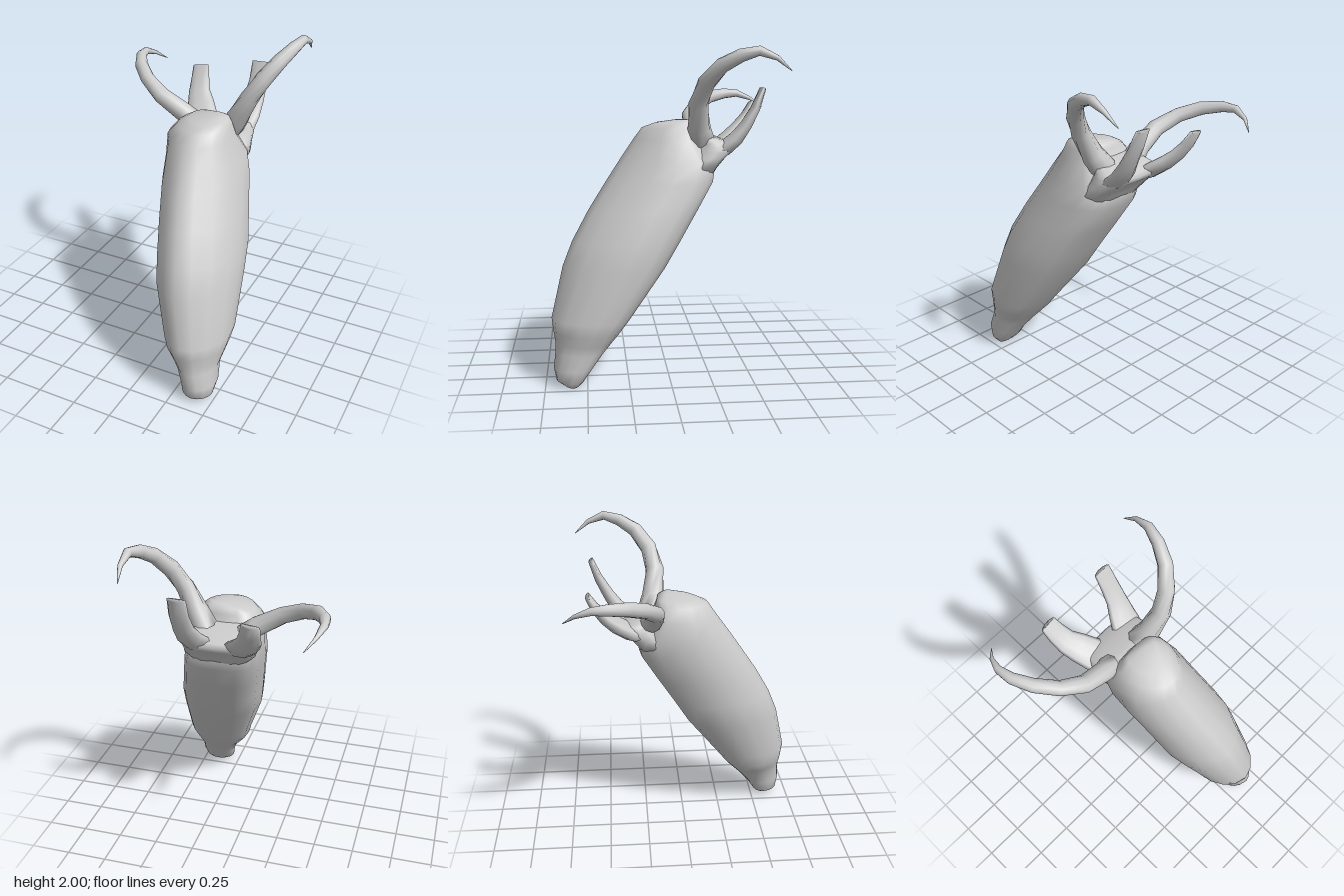
import * as THREE from 'three';

const material = new THREE.MeshStandardMaterial({ color: 0xcccccc, side: THREE.DoubleSide });

// Skin a list of rings (equal point counts) and close both ends.
function skin(name, rings) {
  const n = rings[0].length, pos = [], idx = [];
  for (const ring of rings) for (const p of ring) pos.push(p.x, p.y, p.z);
  for (let i = 0; i < rings.length - 1; i++) {
    for (let j = 0; j < n; j++) {
      const a = i * n + j, b = i * n + (j + 1) % n;
      idx.push(a, b, b + n, a, b + n, a + n);
    }
  }
  const last = (rings.length - 1) * n;
  for (let j = 1; j < n - 1; j++) {
    idx.push(0, j + 1, j);
    idx.push(last, last + j, last + j + 1);
  }
  const g = new THREE.BufferGeometry();
  g.setAttribute('position', new THREE.Float32BufferAttribute(pos, 3));
  g.setIndex(idx);
  g.computeVertexNormals();
  const mesh = new THREE.Mesh(g, material);
  mesh.name = name;
  return mesh;
}

// Level section from the extents [y, x0, x1, z0, z1]: round front, squarer back.
function levelRing([y, x0, x1, z0, z1], sides = 16) {
  const zc = z0 + 0.43 * (z1 - z0);
  return Array.from({ length: sides }, (_, j) => {
    const a = (j / sides) * Math.PI * 2, s = -Math.sin(a), c = Math.cos(a);
    const power = s > 0 ? 1.1 : 0.7;
    const round = (v) => Math.sign(v) * Math.abs(v) ** power;
    return new THREE.Vector3(
      (x0 + x1) / 2 + round(c) * (x1 - x0) / 2, y,
      zc + round(s) * (s > 0 ? z1 - zc : zc - z0));
  });
}

// Elliptic limb through stations [x, y, z, half width, half thickness].
// The width runs along hint; cup bends the side edges forward.
function limb(name, stations, hint, cup = 0, sides = 10) {
  const pts = stations.map((s) => new THREE.Vector3(s[0], s[1], s[2]));
  const rings = stations.map(([, , , w, h], i) => {
    const t = pts[Math.min(i + 1, pts.length - 1)].clone().sub(pts[Math.max(i - 1, 0)]).normalize();
    const u = hint.clone().addScaledVector(t, -hint.dot(t)).normalize();
    const v = t.clone().cross(u);
    return Array.from({ length: sides }, (_, j) => {
      const a = (j / sides) * Math.PI * 2, c = Math.cos(a);
      return pts[i].clone().addScaledVector(u, c * w)
        .addScaledVector(v, Math.sin(a) * h - cup * w * c * c);
    });
  });
  return skin(name, rings);
}

export function createModel() {
  const group = new THREE.Group();
  group.name = 'hornedHead';
  const X = new THREE.Vector3(1, 0, 0), Y = new THREE.Vector3(0, 1, 0);

  // Long slanted head, from the blunt muzzle up to the crown
  group.add(skin('head', [
    [0.00, 0.345, 0.455, 0.555, 0.63],
    [0.035, 0.29, 0.485, 0.52, 0.685],
    [0.11, 0.275, 0.50, 0.47, 0.70],
    [0.20, 0.235, 0.485, 0.40, 0.69],
    [0.26, 0.185, 0.50, 0.35, 0.69],
    [0.32, 0.14, 0.515, 0.30, 0.70],
    [0.40, 0.115, 0.53, 0.24, 0.71],
    [0.70, 0.00, 0.505, 0.02, 0.64],
    [0.85, -0.03, 0.49, -0.07, 0.58],
    [1.03, -0.065, 0.44, -0.18, 0.48],
    [1.20, -0.10, 0.395, -0.28, 0.37],
    [1.32, -0.105, 0.36, -0.30, 0.29],
    [1.45, -0.10, 0.305, -0.20, 0.20],
    [1.52, -0.04, 0.285, -0.17, 0.15],
    [1.55, 0.02, 0.26, -0.16, 0.07],
    [1.57, 0.14, 0.22, -0.12, -0.05],
  ].map((s) => levelRing(s))));

  // Neck behind the crown, flaring back between the ears
  group.add(skin('neck', [
    [1.20, 0.02, 0.27, -0.25, -0.05],
    [1.29, -0.09, 0.35, -0.305, -0.06],
    [1.34, -0.105, 0.34, -0.35, -0.09],
    [1.38, -0.11, 0.335, -0.395, -0.11],
    [1.41, -0.10, 0.325, -0.41, -0.12],
    [1.43, -0.09, 0.315, -0.39, -0.13],
    [1.46, -0.06, 0.29, -0.31, -0.14],
    [1.48, -0.02, 0.26, -0.22, -0.14],
  ].map((s) => levelRing(s))));

  // Curved, pointed horns
  group.add(limb('leftHorn', [
    [0.19, 1.40, -0.22, 0.08, 0.08],
    [0.27, 1.52, -0.18, 0.07, 0.07],
    [0.35, 1.67, -0.165, 0.056, 0.058],
    [0.42, 1.79, -0.20, 0.052, 0.052],
    [0.49, 1.89, -0.28, 0.045, 0.045],
    [0.535, 1.945, -0.38, 0.038, 0.038],
    [0.56, 1.97, -0.48, 0.028, 0.028],
    [0.565, 1.93, -0.58, 0.015, 0.015],
    [0.55, 1.86, -0.665, 0.002, 0.002],
  ], Y));
  group.add(limb('rightHorn', [
    [0.01, 1.41, -0.22, 0.06, 0.075],
    [-0.10, 1.485, -0.195, 0.06, 0.062],
    [-0.25, 1.57, -0.19, 0.05, 0.055],
    [-0.38, 1.635, -0.25, 0.045, 0.045],
    [-0.48, 1.68, -0.35, 0.042, 0.042],
    [-0.54, 1.70, -0.46, 0.034, 0.034],
    [-0.555, 1.70, -0.55, 0.024, 0.024],
    [-0.53, 1.665, -0.64, 0.012, 0.012],
    [-0.48, 1.61, -0.71, 0.002, 0.002],
  ], Y));

  // Flat, cupped ears with blunt tips, rooted in the neck
  group.add(limb('leftEar', [
    [0.22, 1.35, -0.28, 0.08, 0.03],
    [0.23, 1.40, -0.345, 0.10, 0.045],
    [0.25, 1.46, -0.41, 0.085, 0.042],
    [0.265, 1.54, -0.465, 0.068, 0.034],
    [0.268, 1.64, -0.52, 0.06, 0.026],
    [0.262, 1.755, -0.565, 0.055, 0.015],
  ], X, 0.15));
  group.add(limb('rightEar', [
    [-0.01, 1.35, -0.28, 0.08, 0.03],
    [-0.035, 1.39, -0.345, 0.10, 0.045],
    [-0.085, 1.45, -0.425, 0.088, 0.042],
    [-0.125, 1.51, -0.485, 0.072, 0.034],
    [-0.145, 1.58, -0.54, 0.062, 0.026],
    [-0.16, 1.655, -0.58, 0.053, 0.015],
  ], X, 0.15));

  return group;
}
